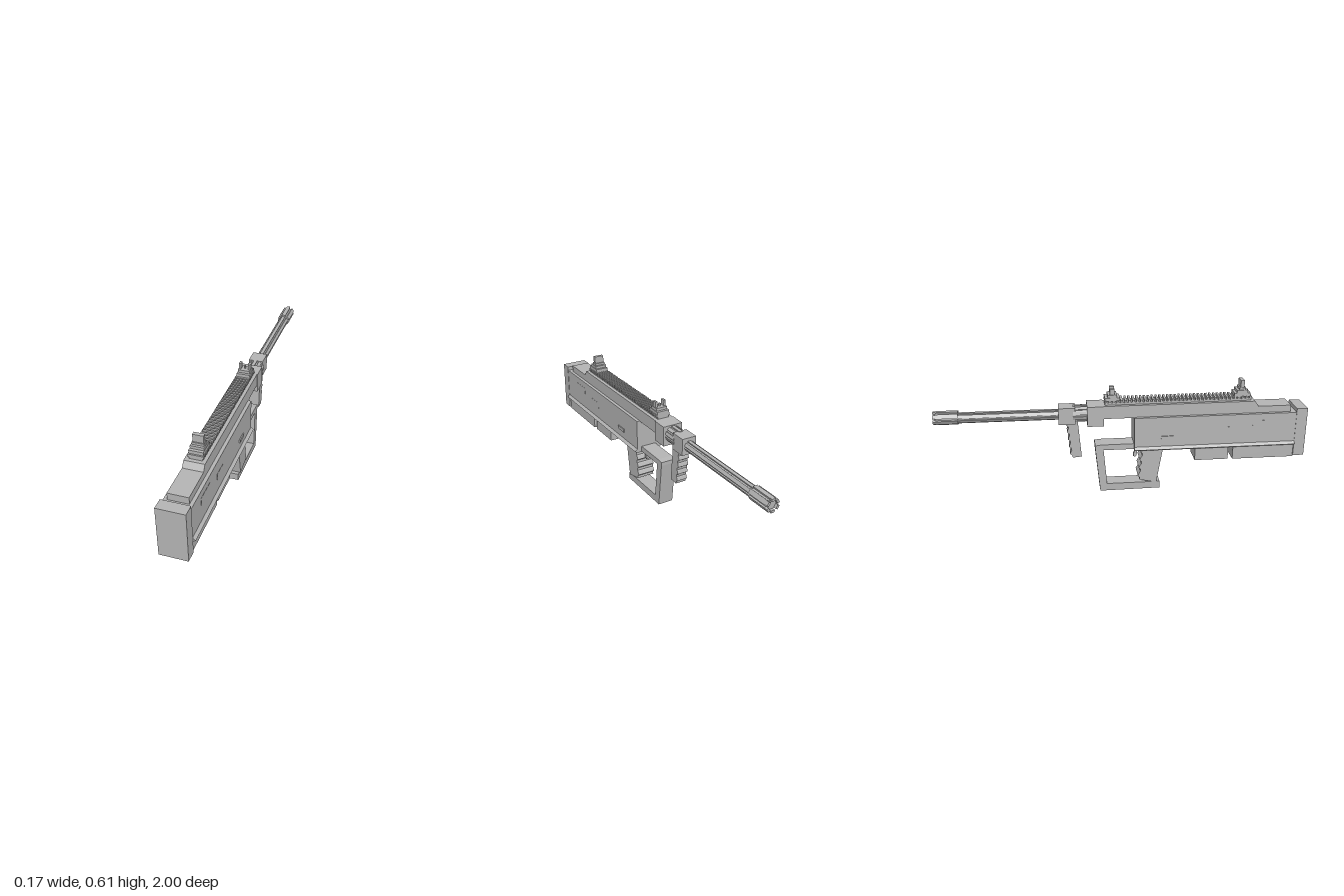
import * as THREE from 'three';

const grey = new THREE.MeshStandardMaterial({ color: 0xb4b4b4 });
grey.name = 'grey';

export function createModel() {
  const root = new THREE.Group();
  root.name = 'rifle';

  const add = (name, geometry, parent = root) => {
    const mesh = new THREE.Mesh(geometry, grey);
    mesh.name = name;
    parent.add(mesh);
    return mesh;
  };
  const group = (name) => {
    const g = new THREE.Group();
    g.name = name;
    root.add(g);
    return g;
  };
  // box from half width in x and ranges in y and z
  const box = (name, hx, y0, y1, z0, z1, parent = root, x = 0) => {
    const g = new THREE.BoxGeometry(2 * hx, y1 - y0, z1 - z0);
    return add(name, g.translate(x, (y0 + y1) / 2, (z0 + z1) / 2), parent);
  };
  // side outline of [z, y] points, extruded across x
  const profile = (name, hx, pts, parent = root) => {
    const shape = new THREE.Shape(pts.map(([z, y]) => new THREE.Vector2(z, y)));
    const g = new THREE.ExtrudeGeometry(shape, { depth: 2 * hx, bevelEnabled: false });
    return add(name, g.translate(0, 0, -hx).rotateY(-Math.PI / 2), parent);
  };
  // cross-section with flutes, extruded along z
  const fluted = (name, r, inner, n, y, z0, z1, parent = root) => {
    const pts = [];
    for (let i = 0; i < n; i++) {
      [[-0.32, r], [0.32, r], [0.36, inner], [0.64, inner]].forEach(([o, rad]) => {
        const a = ((i + o) / n) * Math.PI * 2 + Math.PI / n;
        pts.push(new THREE.Vector2(Math.cos(a) * rad, Math.sin(a) * rad));
      });
    }
    const g = new THREE.ExtrudeGeometry(new THREE.Shape(pts), { depth: z1 - z0, bevelEnabled: false });
    return add(name, g.translate(0, y, z0), parent);
  };
  // grip outline with a stepped finger side; each corner is [z, y]
  const grip = (name, hx, backTop, backBottom, frontBottom, frontTop, ridges) => {
    const pts = [backTop, backBottom];
    const at = (t, out) => [
      frontBottom[0] + (frontTop[0] - frontBottom[0]) * t - out,
      frontBottom[1] + (frontTop[1] - frontBottom[1]) * t,
    ];
    for (let i = 0; i < ridges; i++) {
      pts.push(at(i / ridges, 0), at((i + 0.3) / ridges, 0), at((i + 0.5) / ridges, 0.011), at((i + 0.9) / ridges, 0.004));
    }
    pts.push(frontTop);
    return profile(name, hx, pts);
  };

  // stock and receiver
  box('buttPlate', 0.072, 0.18, 0.455, 0.94, 1);
  box('body', 0.07, 0.243, 0.433, 0.055, 0.945);
  profile('upperReceiver', 0.052, [[0.91, 0.425], [0.91, 0.47], [0.73, 0.47], [0.71, 0.5], [-0.115, 0.5], [-0.115, 0.43], [0, 0.43]]);
  box('frontBlock', 0.056, 0.39, 0.5, -0.195, -0.108);
  box('rearMagazine', 0.063, 0.17, 0.25, 0.6, 0.942);
  box('frontMagazine', 0.06, 0.17, 0.25, 0.39, 0.575);

  // details on both sides
  for (const s of [1, -1]) {
    const side = group(s > 0 ? 'leftDetails' : 'rightDetails');
    const wedge = new THREE.Shape([[0.068, 0.243], [0.085, 0.253], [0.068, 0.268]].map(([x, y]) => new THREE.Vector2(s * x, y)));
    add('sideRail', new THREE.ExtrudeGeometry(wedge, { depth: 0.885, bevelEnabled: false }).translate(0, 0, 0.055), side);
    box('sideButton', 0.006, 0.308, 0.326, 0.2, 0.265, side, s * 0.07);
    box('rearPanel', 0.001, 0.345, 0.395, 0.7, 0.82, side, s * 0.07);
    box('middlePanel', 0.001, 0.33, 0.365, 0.52, 0.605, side, s * 0.07);
  }

  // rear grip, guard and trigger
  grip('rearGrip', 0.05, [0.215, 0.25], [0.18, 0.04], [0.086, 0.062], [0.105, 0.25], 4);
  profile('gripGuard', 0.043, [
    [0.06, 0.245], [-0.11, 0.245], [-0.092, 0.042], [0.2, 0.042], [0.2, 0.003],
    [-0.13, 0], [-0.155, 0.252], [-0.155, 0.272], [-0.12, 0.276], [0.06, 0.276],
  ]);
  profile('trigger', 0.009, [[0.085, 0.25], [0.076, 0.215], [0.075, 0.192], [0.066, 0.182], [0.056, 0.188], [0.056, 0.2], [0.064, 0.215], [0.066, 0.25]]);

  // toothed top rail
  const rail = group('topRail');
  box('railBase', 0.033, 0.495, 0.512, -0.1, 0.69, rail);
  for (let i = 0; i < 38; i++) {
    const z = -0.1 + i * 0.0211;
    box('railTooth', 0.039, 0.51, 0.525, z, z + 0.0115, rail);
  }

  // rear sight
  const rear = group('rearSight');
  box('sightBase', 0.036, 0.522, 0.543, 0.598, 0.685, rear);
  box('sightStep', 0.034, 0.543, 0.558, 0.612, 0.67, rear);
  box('sightCollar', 0.03, 0.558, 0.57, 0.625, 0.658, rear);
  box('sightPlate', 0.027, 0.57, 0.61, 0.632, 0.652, rear);

  // front sight with prongs
  const front = group('frontSight');
  box('sightBase', 0.036, 0.522, 0.54, -0.1, -0.02, front);
  box('sightStep', 0.033, 0.54, 0.555, -0.085, -0.035, front);
  for (const s of [1, -1]) box('sightProng', 0.006, 0.555, 0.587, -0.073, -0.047, front, s * 0.025);
  box('sightPin', 0.004, 0.555, 0.572, -0.064, -0.056, front);

  // barrel, fore grip and muzzle
  fluted('barrelCollar', 0.046, 0.039, 10, 0.45, -0.27, -0.19);
  box('gripMount', 0.04, 0.4, 0.492, -0.347, -0.258);
  grip('foreGrip', 0.03, [-0.245, 0.415], [-0.228, 0.207], [-0.277, 0.203], [-0.3, 0.415], 5);
  fluted('barrel', 0.029, 0.022, 6, 0.447, -0.89, -0.34);
  const muzzle = group('muzzle');
  fluted('muzzleSleeve', 0.037, 0.028, 6, 0.45, -0.985, -0.87, muzzle);
  for (let i = 0; i < 6; i++) {
    const prong = add('muzzleProng', new THREE.BoxGeometry(0.012, 0.02, 0.016).translate(0.029, 0, 0), muzzle);
    prong.position.set(0, 0.45, -0.992);
    prong.rotation.z = ((i + 0.5) / 6) * Math.PI * 2;
  }

  return root;
}
